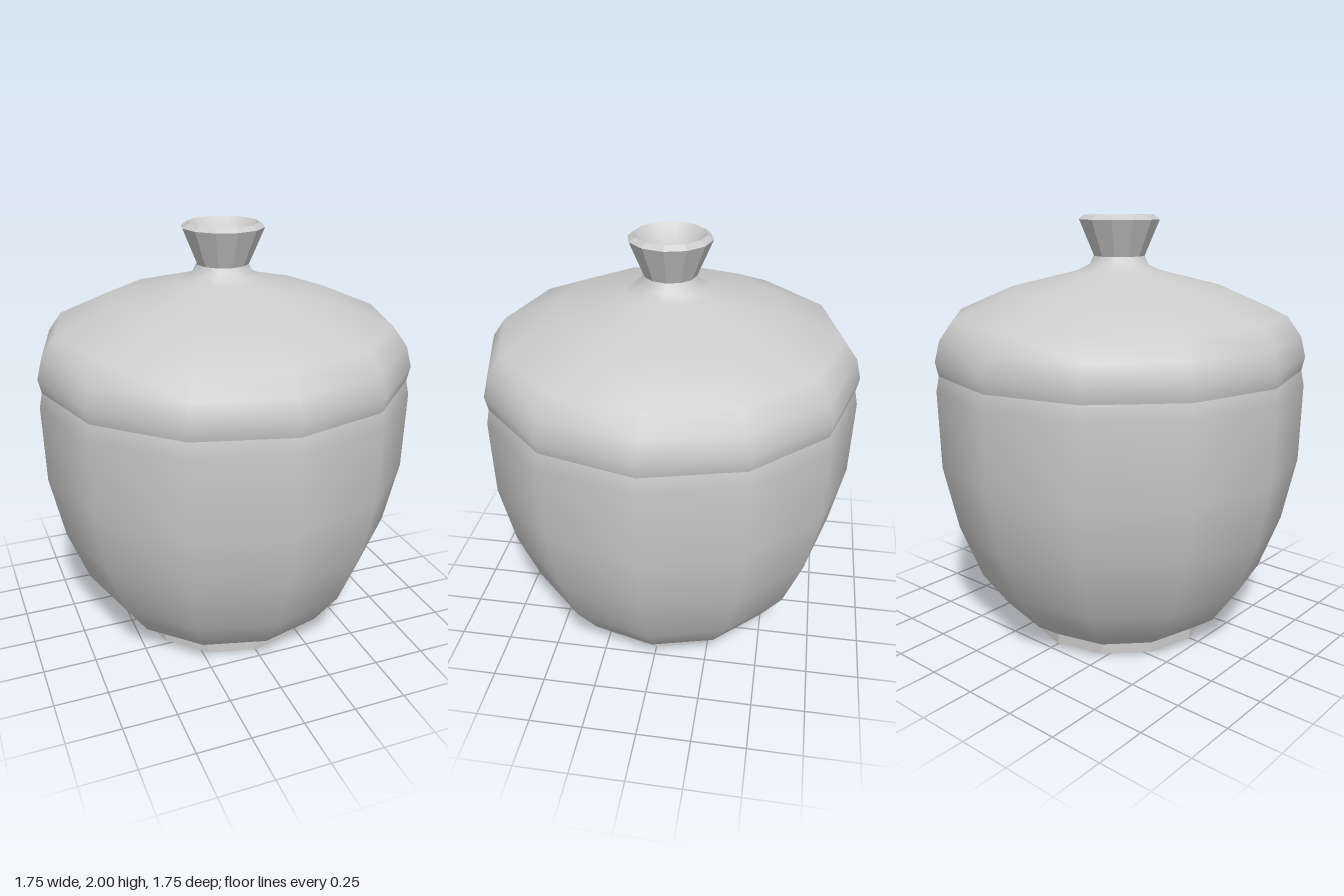
import * as THREE from 'three';

const SIDES = 12;

// Revolve a [radius, height] profile, listed from the bottom up and over the top
function turned(name, profile, flatShading = false) {
  const points = profile.map(([r, y]) => new THREE.Vector2(r, y));
  const material = new THREE.MeshStandardMaterial({ color: 0xcccccc, flatShading });
  const mesh = new THREE.Mesh(new THREE.LatheGeometry(points, SIDES), material);
  mesh.name = name;
  return mesh;
}

export function createModel() {
  const jar = new THREE.Group();
  jar.name = 'lidded jar';

  // Faceted foot with a closed base
  jar.add(turned('foot', [[0, 0], [0.45, 0], [0.45, 0.05]], true));

  // Smooth rounded bowl, drawn in slightly at the seam
  jar.add(turned('bowl', [
    [0.45, 0.05], [0.578, 0.14], [0.7, 0.31], [0.8, 0.57],
    [0.865, 0.87], [0.874, 1.23], [0.86, 1.3],
  ]));

  // Lid: bulging edge, shallow dome and narrow neck
  const lid = new THREE.Group();
  lid.name = 'lid';
  lid.add(turned('dome', [
    [0.86, 1.3], [0.874, 1.365], [0.85, 1.46], [0.785, 1.55],
    [0.52, 1.665], [0.2, 1.745], [0.14, 1.775], [0.12, 1.815],
  ]));

  // Flared knob with a bevelled rim and a hollow top
  lid.add(turned('knob', [[0.12, 1.815], [0.19, 1.98], [0.163, 2]], true));
  lid.add(turned('knobHollow', [[0.163, 2], [0.12, 1.955], [0.065, 1.925], [0, 1.915]]));
  jar.add(lid);

  return jar;
}
